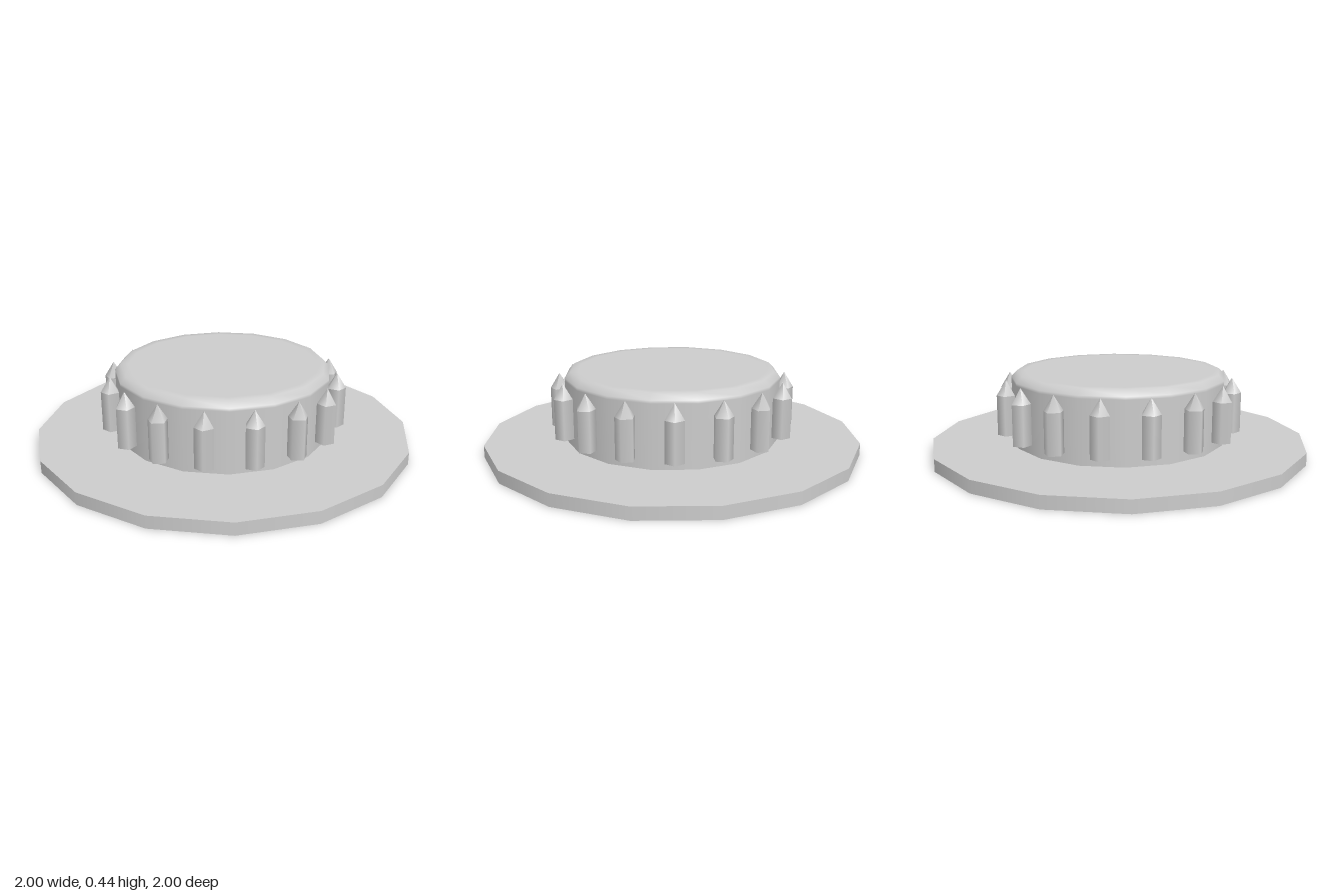
import * as THREE from 'three';

const SIDES = 16;

export function createModel() {
  const model = new THREE.Group();
  const grey = new THREE.MeshStandardMaterial({ color: 0xcccccc });
  grey.name = 'light grey';

  // Each profile is revolved on its own, so edges between profiles stay sharp.
  const revolve = (name, profiles, sides = SIDES) => {
    const group = new THREE.Group();
    group.name = name;
    for (const profile of profiles) {
      const points = profile.map(([r, y]) => new THREE.Vector2(r, y));
      group.add(new THREE.Mesh(new THREE.LatheGeometry(points, sides), grey));
    }
    return group;
  };

  // Flat brim ring
  model.add(revolve('brim', [
    [[0.51, 0], [1, 0]],
    [[1, 0], [1, 0.065]],
    [[1, 0.065], [0.57, 0.065]],
  ]));

  // Crown with a softly bevelled top edge
  model.add(revolve('crown', [
    [[0.57, 0.065], [0.57, 0.39], [0.57, 0.405], [0.54, 0.435], [0.5, 0.435], [0, 0.435]],
  ]));

  // Hollow underneath
  model.add(revolve('hollow', [
    [[0, 0.36], [0.51, 0.36]],
    [[0.51, 0.36], [0.51, 0]],
  ]));

  // Ring of pointed five-sided studs
  const studs = new THREE.Group();
  studs.name = 'studs';
  for (let i = 0; i < SIDES; i++) {
    const angle = ((i + 0.5) / SIDES) * Math.PI * 2;
    const stud = revolve('stud', [
      [[0, 0.115], [0.05, 0.115]],
      [[0.05, 0.115], [0.05, 0.325]],
      [[0.05, 0.325], [0, 0.405]],
    ], 5);
    stud.position.set(Math.sin(angle) * 0.6, 0, Math.cos(angle) * 0.6);
    stud.rotation.y = angle;
    studs.add(stud);
  }
  model.add(studs);

  return model;
}
